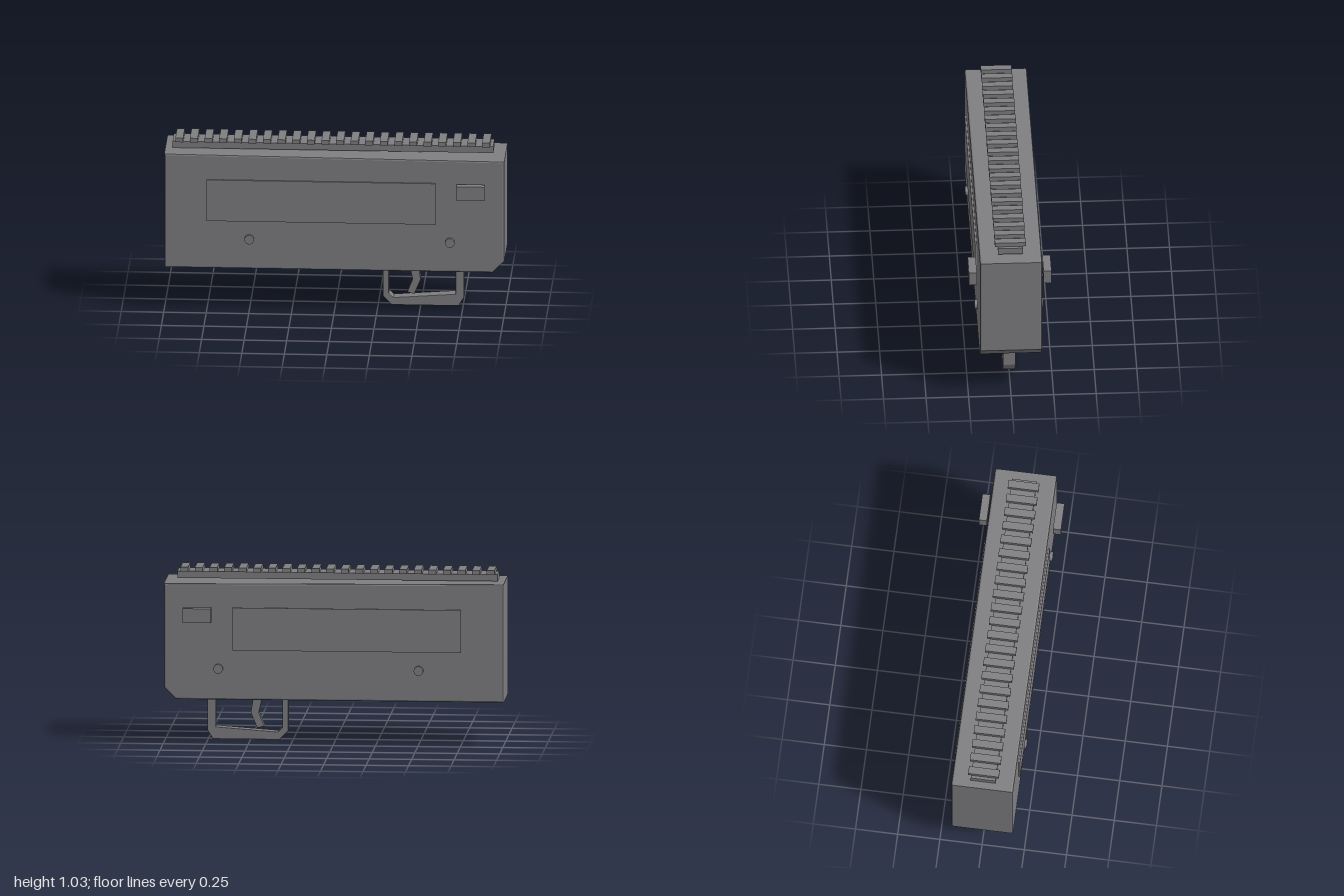
import * as THREE from 'three';

const grey = new THREE.MeshStandardMaterial({ color: 0x7f7f82 });
grey.name = 'plain grey';

// Side profile (x, y) extruded evenly about z = 0, with a small inset bevel
function profile(name, points, halfDepth, bevel) {
  const shape = new THREE.Shape(points.map(([x, y]) => new THREE.Vector2(x, y)));
  const geometry = new THREE.ExtrudeGeometry(shape, {
    depth: 2 * (halfDepth - bevel), bevelEnabled: bevel > 0, bevelThickness: bevel,
    bevelSize: bevel, bevelOffset: -bevel, bevelSegments: 2,
  });
  geometry.translate(0, 0, bevel - halfDepth);
  const mesh = new THREE.Mesh(geometry, grey);
  mesh.name = name;
  return mesh;
}

// Box given by its limits on each axis
function box(name, x0, x1, y0, y1, z0, z1) {
  const mesh = new THREE.Mesh(new THREE.BoxGeometry(x1 - x0, y1 - y0, z1 - z0), grey);
  mesh.position.set((x0 + x1) / 2, (y0 + y1) / 2, (z0 + z1) / 2);
  mesh.name = name;
  return mesh;
}

export function createModel() {
  const model = new THREE.Group();
  model.name = 'model';

  // Main housing: slightly sloping top, cut lower corner
  model.add(profile('housing', [
    [-1, 0.255], [0.93, 0.255], [1, 0.325], [1, 0.943], [-1, 0.958],
  ], 0.183, 0.01));

  // Top rail with evenly spaced cross ribs
  const rail = new THREE.Group();
  rail.name = 'topRail';
  rail.add(box('railBase', -0.957, 0.929, 0.96, 1.0, -0.073, 0.073));
  for (let i = 0; i < 22; i++) {
    const x = -0.917 + i * 0.0859;
    rail.add(box('railRib', x - 0.023, x + 0.023, 1.0, 1.026, -0.091, 0.091));
  }
  model.add(rail);

  // Side details, the same on both sides
  for (const s of [1, -1]) {
    const side = new THREE.Group();
    side.name = s > 0 ? 'frontDetails' : 'backDetails';
    side.add(box('sidePanel', -0.75, 0.595, 0.55, 0.803, s > 0 ? 0.17 : -0.193, s > 0 ? 0.193 : -0.17));
    side.add(box('sideButton', 0.72, 0.885, 0.718, 0.803, s > 0 ? 0.196 : -0.243, s > 0 ? 0.243 : -0.196));
    for (const x of [-0.5, 0.68]) {
      const pin = new THREE.Mesh(new THREE.CylinderGeometry(0.028, 0.028, 0.04, 24), grey);
      pin.rotation.x = Math.PI / 2;
      pin.position.set(x, 0.44, s * 0.182);
      pin.name = 'sidePin';
      side.add(pin);
    }
    model.add(side);
  }

  // Open loop under the housing
  model.add(profile('lowerLoop', [
    [0.278, 0.27], [0.278, 0.053], [0.33, 0], [0.722, 0], [0.755, 0.053], [0.755, 0.27],
    [0.706, 0.27], [0.706, 0.072], [0.34, 0.045], [0.313, 0.072], [0.313, 0.27],
  ].reverse(), 0.037, 0.003));

  // Bent lever inside the loop
  model.add(profile('lever', [
    [0.427, 0.27], [0.452, 0.157], [0.42, 0.077], [0.462, 0.066], [0.5, 0.157], [0.482, 0.27],
  ], 0.028, 0.002));

  return model;
}
